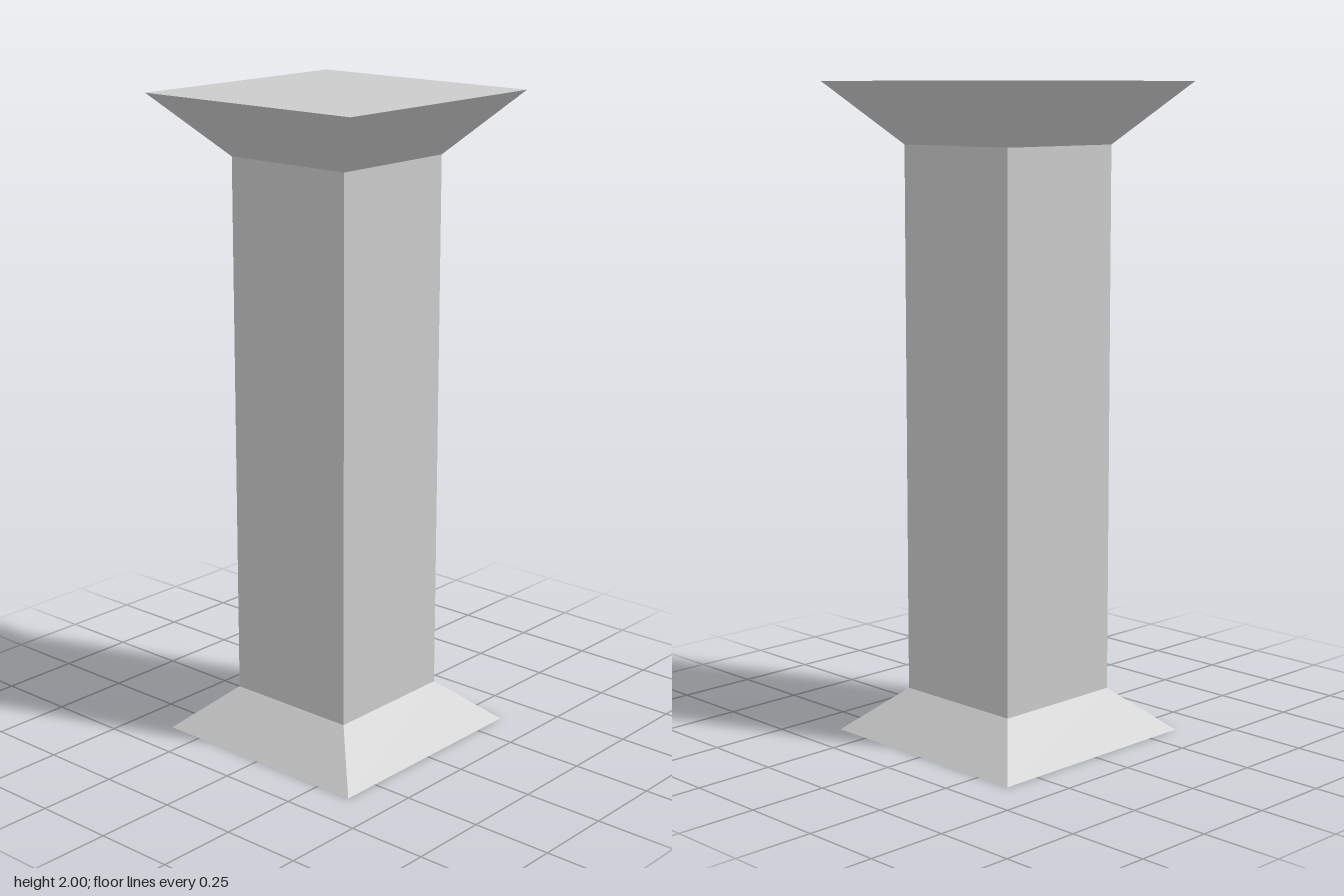
import * as THREE from 'three';

// Square frustum given by half-widths at its bottom and top
function squareBlock(name, bottomHalf, topHalf, y0, y1, material) {
  const geometry = new THREE.CylinderGeometry(
    topHalf * Math.SQRT2, bottomHalf * Math.SQRT2, y1 - y0, 4, 1
  );
  geometry.rotateY(Math.PI / 4);
  geometry.translate(0, (y0 + y1) / 2, 0);
  const mesh = new THREE.Mesh(geometry, material);
  mesh.name = name;
  return mesh;
}

export function createModel() {
  const stone = new THREE.MeshStandardMaterial({ color: 0xcccccc, flatShading: true });
  const pillar = new THREE.Group();
  pillar.name = 'pillar';
  pillar.add(
    // Sloped foot, straight square shaft, flared capital
    squareBlock('base', 0.37, 0.218, 0, 0.135, stone),
    squareBlock('shaft', 0.218, 0.218, 0.135, 1.813, stone),
    squareBlock('capital', 0.218, 0.393, 1.813, 2, stone)
  );
  return pillar;
}
